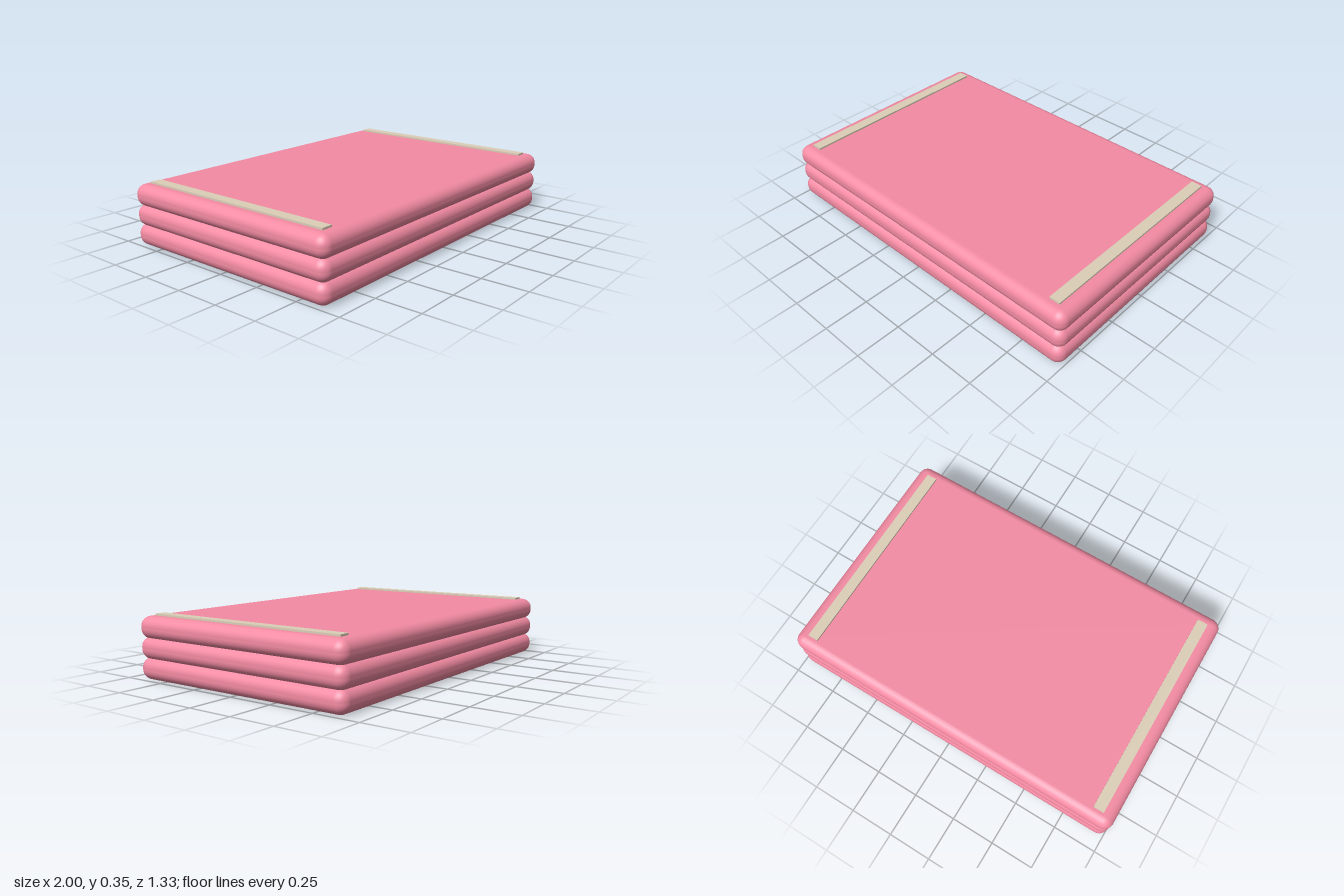
import * as THREE from 'three';
import { RoundedBoxGeometry } from 'three/addons/geometries/RoundedBoxGeometry.js';

export function createModel() {
  const model = new THREE.Group();
  model.name = 'foldedMat';
  const fabric = new THREE.MeshStandardMaterial({ color: 0xf48ba3 });
  const strap = new THREE.MeshStandardMaterial({ color: 0xdccfb8 });

  // Three cushioned panels, slightly pressed into each other
  const height = 0.12, pitch = 0.108;
  const panelGeometry = new RoundedBoxGeometry(2, height, 1.333, 4, 0.054);
  ['bottomPanel', 'middlePanel', 'topPanel'].forEach((name, i) => {
    const panel = new THREE.Mesh(panelGeometry, fabric);
    panel.name = name;
    panel.position.y = height / 2 + i * pitch;
    model.add(panel);
  });

  // Flat fastening strips along both short edges of the top panel
  const stripGeometry = new THREE.BoxGeometry(0.06, 0.014, 1.2);
  for (const side of [-1, 1]) {
    const strip = new THREE.Mesh(stripGeometry, strap);
    strip.name = side > 0 ? 'leftStrip' : 'rightStrip';
    strip.position.set(side * 0.9, 0.339, 0);
    model.add(strip);
  }
  return model;
}
